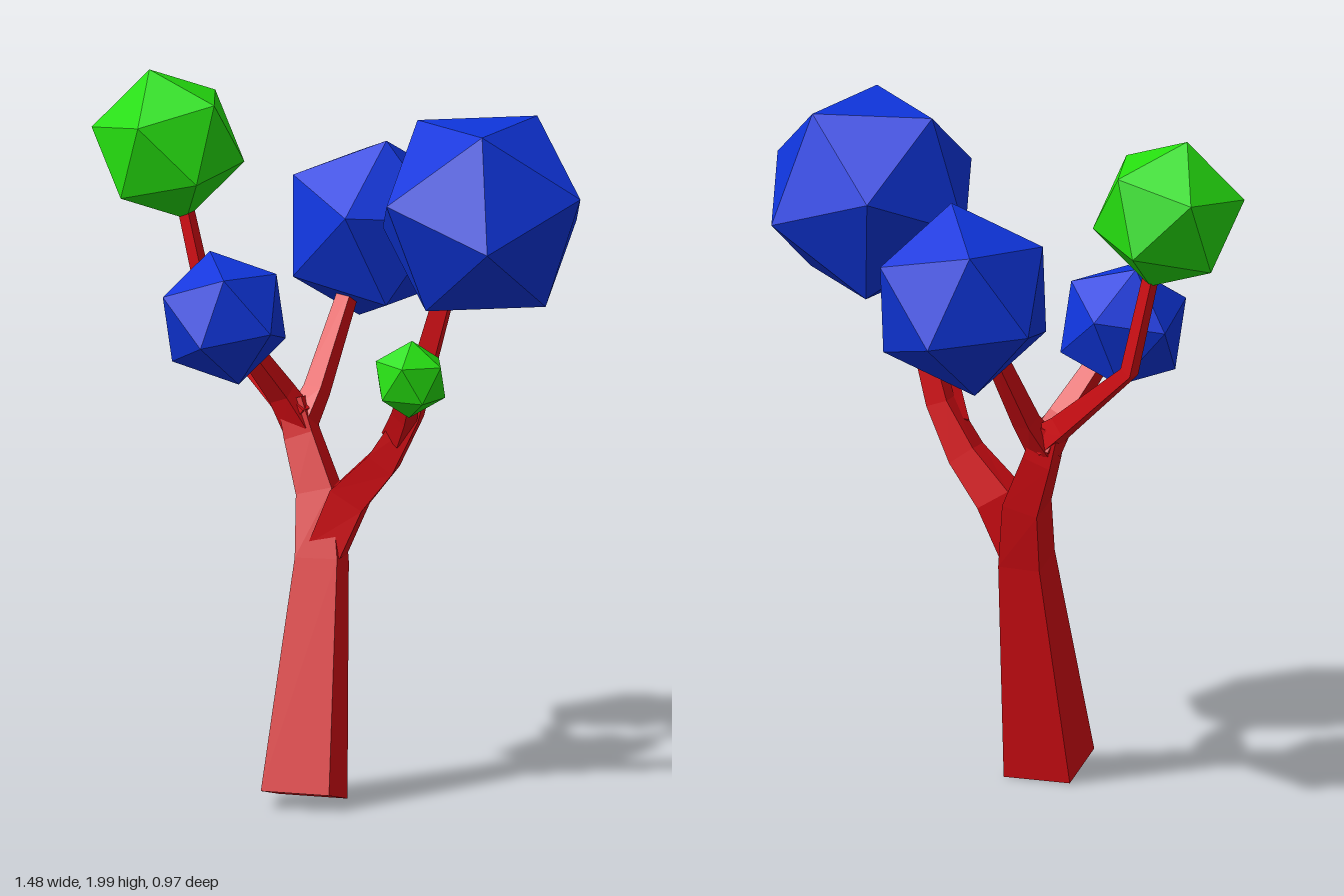
import * as THREE from 'three';

const V = (p) => new THREE.Vector3(p[0], p[1], p[2]);
const paint = (color) => new THREE.MeshStandardMaterial({ color, flatShading: true });

// Four-sided tapering limb through points [x, y, z, radius]
function limbGeometry(points, phase) {
  const centres = points.map(V);
  const rings = points.map((p, i) => {
    const t = centres[Math.min(i + 1, points.length - 1)].clone()
      .sub(centres[Math.max(i - 1, 0)]).normalize();
    const u = new THREE.Vector3(0, 0, 1);
    u.addScaledVector(t, -u.dot(t)).normalize();
    const v = t.clone().cross(u);
    return [0, 1, 2, 3].map((k) => {
      const a = phase + k * Math.PI / 2;
      return centres[i].clone()
        .addScaledVector(u, p[3] * Math.cos(a))
        .addScaledVector(v, p[3] * Math.sin(a));
    });
  });
  const tris = [];
  const quad = (a, b, c, d) => tris.push(a, b, c, a, c, d);
  for (let i = 0; i < rings.length - 1; i++) {
    for (let k = 0; k < 4; k++) {
      const n = (k + 1) % 4;
      quad(rings[i][k], rings[i][n], rings[i + 1][n], rings[i + 1][k]);
    }
  }
  const first = rings[0], last = rings[rings.length - 1];
  quad(first[3], first[2], first[1], first[0]);
  quad(last[0], last[1], last[2], last[3]);
  const g = new THREE.BufferGeometry().setFromPoints(tris);
  g.computeVertexNormals();
  return g;
}

// Orthonormal frame from two directions
function frame(a, b) {
  const x = V(a).normalize();
  const z = x.clone().cross(V(b)).normalize();
  return new THREE.Matrix4().makeBasis(x, z.clone().cross(x), z);
}

// Icosahedron turned so that two neighbouring corners point along a and b
function crownGeometry(radius, a, b) {
  const g = new THREE.IcosahedronGeometry(radius, 0);
  const phi = (1 + Math.sqrt(5)) / 2;
  const local = frame([-1, phi, 0], [1, phi, 0]).invert();
  return g.applyMatrix4(frame(a, b).multiply(local));
}

export function createModel() {
  const tree = new THREE.Group();
  tree.name = 'tree';
  const red = paint(0xd80d14), blue = paint(0x0f35dc), green = paint(0x25de0f);

  // Leaning trunk and its branches
  const limbs = [
    ['trunk', -0.47, [[0.03, 0.03, 0.315, 0.14], [-0.013, 0.67, 0.16, 0.087],
      [-0.05, 0.85, 0.115, 0.075], [-0.12, 1.0, 0.095, 0.06], [-0.155, 1.1, 0.09, 0.05]]],
    ['rightFork', -0.47, [[0.0, 0.7, 0.15, 0.07], [0.055, 0.85, 0.12, 0.075],
      [0.155, 0.96, 0.1, 0.06], [0.235, 1.1, 0.085, 0.045], [0.35, 1.5, 0.065, 0.033]]],
    ['smallCrownBranch', 0.78, [[0.2, 1.04, 0.1, 0.045], [0.25, 1.11, 0.14, 0.038], [0.32, 1.22, 0.21, 0.028]]],
    ['outerBranch', 0.78, [[-0.12, 1.05, 0.09, 0.055], [-0.2, 1.11, 0.09, 0.042],
      [-0.44, 1.31, 0.085, 0.027], [-0.52, 1.64, 0.095, 0.023]]],
    ['backBranch', 0.78, [[-0.13, 1.03, 0.09, 0.05], [-0.115, 1.12, 0.03, 0.04], [-0.11, 1.4, -0.14, 0.03]]],
    ['frontBranch', 0.78, [[-0.13, 1.03, 0.09, 0.055], [-0.165, 1.12, 0.13, 0.043], [-0.22, 1.28, 0.24, 0.033]]],
  ];
  for (const [name, phase, points] of limbs) {
    const mesh = new THREE.Mesh(limbGeometry(points, phase), red);
    mesh.name = name;
    tree.add(mesh);
  }

  // Faceted leaf crowns: centre, radius and two corner directions
  const crowns = [
    ['largeBlueCrown', blue, [0.431, 1.688, 0.022], 0.319, [0.308, 0.07, -0.032], [0.105, 0.257, 0.157]],
    ['backBlueCrown', blue, [-0.105, 1.535, -0.24], 0.272, [0.065, 0.26, 0.03], [0.26, 0.07, 0.04]],
    ['frontBlueCrown', blue, [-0.245, 1.36, 0.303], 0.192, [-0.065, 0.18, -0.025], [-0.18, 0.02, -0.045]],
    ['largeGreenCrown', green, [-0.557, 1.785, 0.115], 0.219, [-0.045, 0.21, 0.025], [0.03, 0.09, 0.205]],
    ['smallGreenCrown', green, [0.32, 1.235, 0.215], 0.111, [0.005, 0.11, 0], [0.098, 0.052, 0]],
  ];
  for (const [name, material, centre, radius, a, b] of crowns) {
    const mesh = new THREE.Mesh(crownGeometry(radius, a, b), material);
    mesh.name = name;
    mesh.position.copy(V(centre));
    tree.add(mesh);
  }
  return tree;
}
